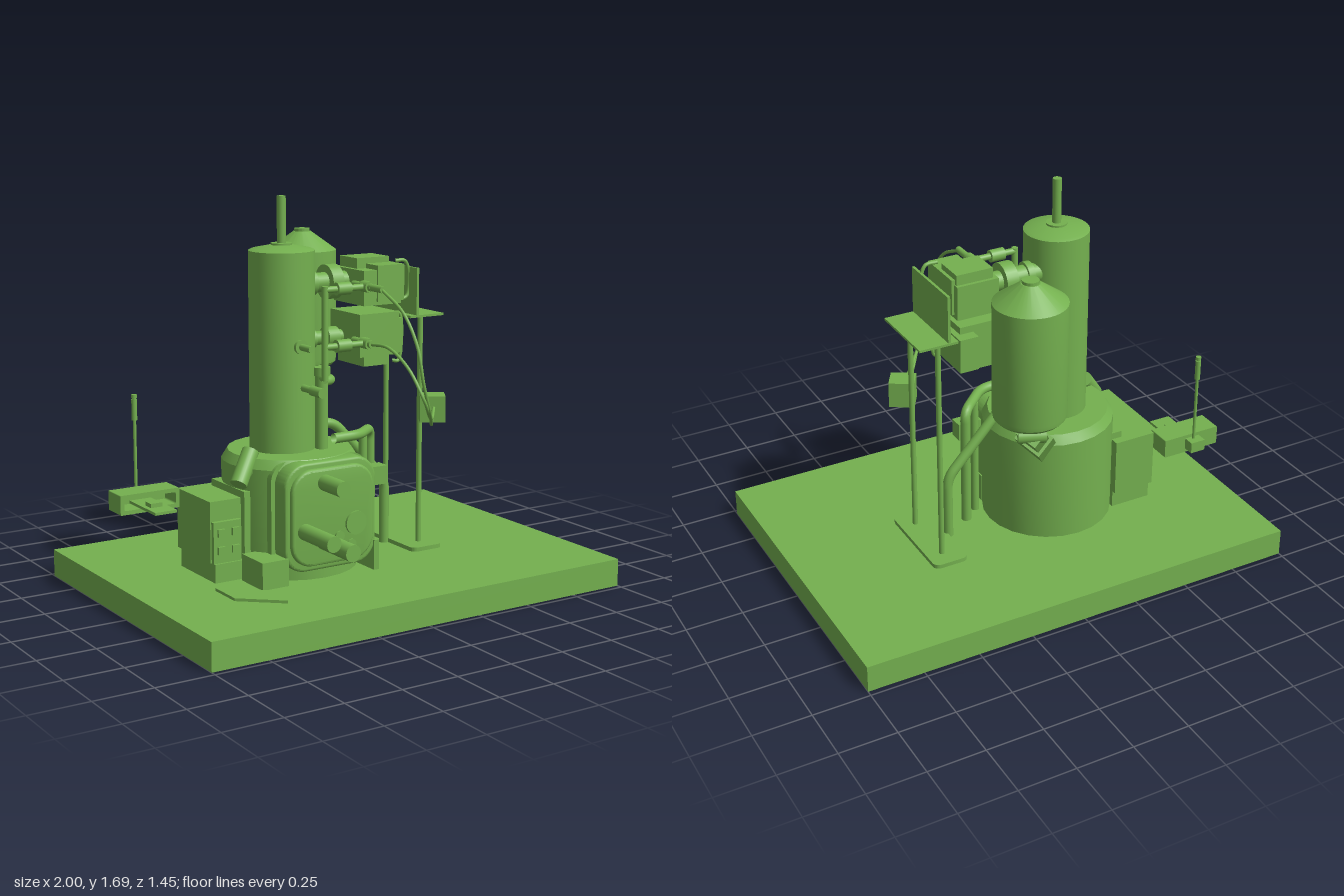
import * as THREE from 'three';
import { toCreasedNormals } from 'three/addons/utils/BufferGeometryUtils.js';

const V = (p) => new THREE.Vector3(...p);

export function createModel() {
  const root = new THREE.Group();
  root.name = 'laboratoryColumn';
  const mat = new THREE.MeshStandardMaterial({ color: 0x74b04f });
  const twoSided = new THREE.MeshStandardMaterial({ color: 0x74b04f, side: THREE.DoubleSide });

  const add = (name, geo, pos = [0, 0, 0], m = mat) => {
    const mesh = new THREE.Mesh(geo, m);
    mesh.name = name;
    mesh.position.set(...pos);
    root.add(mesh);
    return mesh;
  };
  // box given by its min and max on each axis
  const box = (name, x0, x1, y0, y1, z0, z1) =>
    add(name, new THREE.BoxGeometry(x1 - x0, y1 - y0, z1 - z0), [(x0 + x1) / 2, (y0 + y1) / 2, (z0 + z1) / 2]);
  const aim = (mesh, a, b) => {
    mesh.position.copy(a).add(b).multiplyScalar(0.5);
    mesh.quaternion.setFromUnitVectors(new THREE.Vector3(0, 1, 0), b.clone().sub(a).normalize());
    return mesh;
  };
  // cylinder or square bar running between two points
  const rod = (name, p, q, r, r2 = r, seg = 24) => {
    const a = V(p), b = V(q);
    return aim(add(name, new THREE.CylinderGeometry(r2, r, a.distanceTo(b), seg)), a, b);
  };
  const bar = (name, p, q, w, d) => {
    const a = V(p), b = V(q);
    return aim(add(name, new THREE.BoxGeometry(w, a.distanceTo(b), d)), a, b);
  };
  const lathe = (name, pts, pos, seg = 40) =>
    add(name, toCreasedNormals(new THREE.LatheGeometry(pts.map((p) => new THREE.Vector2(...p)), seg), 0.5), pos);
  const tube = (name, pts, r, seg = 60, tension = 0.5) => add(name, new THREE.TubeGeometry(
    new THREE.CatmullRomCurve3(pts.map(V), false, 'catmullrom', tension), seg, r, 12));
  // pipe with straight runs and rounded bends
  const pipe = (name, pts, r, bend = 0.05) => {
    const path = new THREE.CurvePath(), v = pts.map(V);
    let from = v[0];
    for (let i = 1; i < v.length - 1; i++) {
      const a = v[i].clone().add(v[i - 1].clone().sub(v[i]).setLength(bend));
      const b = v[i].clone().add(v[i + 1].clone().sub(v[i]).setLength(bend));
      path.add(new THREE.LineCurve3(from, a));
      path.add(new THREE.QuadraticBezierCurve3(a, v[i], b));
      from = b;
    }
    path.add(new THREE.LineCurve3(from, v[v.length - 1]));
    add(name, new THREE.TubeGeometry(path, 70, r, 14), [0, 0, 0], twoSided);
  };
  const roundedRect = (w, h, r) => {
    const s = new THREE.Shape();
    [[1, 1, 0], [-1, 1, 1], [-1, -1, 2], [1, -1, 3]].forEach(([x, y, k]) =>
      s.absarc(x * (w / 2 - r), y * (h / 2 - r), r, k * Math.PI / 2, (k + 1) * Math.PI / 2, false));
    s.closePath();
    return s;
  };
  const slab = (name, w, h, r, depth, pos, bevel = 0) => add(name, toCreasedNormals(
    new THREE.ExtrudeGeometry(roundedRect(w, h, r), { depth, curveSegments: 10, bevelEnabled: bevel > 0,
      bevelSize: bevel, bevelThickness: bevel, bevelOffset: -bevel, bevelSegments: 3 }), 0.6), pos);

  // Base tray, open underneath
  const tray = new THREE.BoxGeometry(2, 0.12, 1.45);
  tray.setIndex([...tray.index.array].filter((_, i) => i < 18 || i >= 24));
  tray.clearGroups();
  add('base', tray, [0, 0.06, 0], twoSided);

  // Main chamber with chamfered top
  lathe('chamber', [[0.29, 0.12], [0.29, 0.585], [0.265, 0.625], [0, 0.625]], [-0.21, 0, -0.02], 24);
  slab('frontHousing', 0.47, 0.47, 0.08, 0.2, [-0.195, 0.385, 0]);
  slab('doorFrame', 0.445, 0.46, 0.1, 0.07, [-0.19, 0.392, 0.2], 0.012);
  slab('door', 0.4, 0.41, 0.1, 0.03, [-0.19, 0.392, 0.26], 0.012);

  // Door fittings: x, y, radius, front z
  [[-0.233, 0.537, 0.034, 0.445], [-0.33, 0.342, 0.034, 0.525], [-0.238, 0.29, 0.036, 0.525],
    [-0.163, 0.3, 0.022, 0.31], [-0.083, 0.347, 0.05, 0.312], [-0.104, 0.257, 0.022, 0.31]]
    .forEach(([x, y, r, z]) => rod('doorPort', [x, y, 0.25], [x, y, z], r));
  box('leftFoot', -0.525, -0.4, 0.12, 0.235, 0.12, 0.29);
  box('rightFoot', 0.02, 0.045, 0.12, 0.25, 0.12, 0.29);
  box('hingeBlock', 0.02, 0.15, 0.46, 0.54, 0.13, 0.195);
  rod('sidePort', [-0.535, 0.53, 0.115], [-0.445, 0.65, 0.06], 0.036);
  rod('sidePortNeck', [-0.49, 0.58, 0.085], [-0.4, 0.54, 0.04], 0.035);

  // Tall column and its stem
  lathe('column', [[0.14, 0.6], [0.14, 1.465], [0.125, 1.472], [0.05, 1.487], [0, 1.487]], [-0.238, 0, -0.028]);
  rod('stemCollar', [-0.238, 1.47, -0.028], [-0.238, 1.495, -0.028], 0.045);
  rod('stem', [-0.238, 1.48, -0.028], [-0.238, 1.69, -0.028], 0.019);
  rod('columnPort', [-0.233, 1.075, 0.08], [-0.233, 1.075, 0.125], 0.03);
  rod('columnPortTip', [-0.233, 1.075, 0.12], [-0.233, 1.075, 0.2], 0.014);
  rod('lowerColumnPort', [-0.217, 0.9, 0.08], [-0.217, 0.9, 0.2], 0.015);
  rod('lowerColumnPortCap', [-0.217, 0.9, 0.18], [-0.217, 0.9, 0.26], 0.021);

  // Storage tank
  lathe('tank', [[0, 0.885], [0.135, 0.885], [0.15, 0.9], [0.153, 0.92], [0.153, 1.405], [0.04, 1.487],
    [0.035, 1.487], [0.035, 1.5], [0, 1.5]], [0.132, 0, -0.468]);
  rod('tankNeck', [0.132, 0.8, -0.475], [0.132, 0.89, -0.475], 0.045);
  bar('tankArm', [0.15, 0.835, -0.51], [0.035, 0.685, -0.34], 0.1, 0.075);
  rod('tankArmJoint', [0.195, 0.82, -0.485], [0.09, 0.82, -0.53], 0.03);
  bar('tankArmFoot', [0.05, 0.705, -0.36], [-0.06, 0.56, -0.2], 0.13, 0.1);

  // Two side arms leading from the column to the instrument heads
  [[1.31, 0.042, 0.075], [1.07, 0.03, 0.045]].forEach(([y, r, flange]) => {
    rod('sideArm', [-0.13, y, -0.07], [0.11, y, -0.07], r);
    rod('sideArmFlange', [0.0, y, -0.07], [0.055, y, -0.07], flange);
    rod('sideArmCollar', [-0.09, y, -0.07], [-0.06, y, -0.07], r + 0.012);
    // thin sampling line with fittings
    rod('sampleLine', [-0.14, y, 0.155], [0.07, y, 0.155], 0.014);
    rod('sampleFitting', [-0.085, y, 0.155], [-0.02, y, 0.155], 0.027);
    rod('cableSocket', [0.065, y, 0.06], [0.065, y, 0.2], 0.016);
    rod('cablePlug', [0.065, y, 0.13], [0.065, y, 0.185], 0.024);
  });
  rod('upperCablePlug', [0.065, 1.31, 0.18], [0.065, 1.31, 0.28], 0.015);
  rod('samplePipe', [-0.14, 0.93, 0.155], [-0.14, 1.325, 0.155], 0.014);
  rod('sampleRiser', [-0.11, 0.62, 0.08], [-0.11, 0.95, 0.08], 0.027);
  rod('riserCap', [-0.11, 0.94, 0.08], [-0.11, 0.975, 0.08], 0.037);
  rod('sampleLink', [-0.14, 0.93, 0.155], [-0.11, 0.93, 0.08], 0.014);
  pipe('columnElbow', [[-0.11, 0.91, 0.08], [-0.04, 0.91, 0.06], [-0.04, 0.91, -0.06], [-0.14, 0.91, -0.06]], 0.02, 0.035);

  // Instrument heads
  box('upperHead', 0.1, 0.29, 1.215, 1.365, -0.15, 0.085);
  box('upperHeadTop', 0.12, 0.285, 1.36, 1.41, -0.135, 0.0);
  box('upperHeadEnd', 0.165, 0.3, 1.23, 1.385, -0.12, 0.095);
  box('lowerHead', 0.08, 0.28, 0.995, 1.18, -0.15, 0.085);
  box('lowerHeadBase', 0.1, 0.225, 0.955, 1.0, -0.12, 0.085);
  box('lowerHeadEnd', 0.22, 0.305, 1.0, 1.15, -0.2, 0.08);
  tube('upperHandle', [[0.28, 1.395, 0.05], [0.335, 1.39, 0.05], [0.355, 1.33, 0.05], [0.345, 1.24, 0.05], [0.28, 1.225, 0.05]], 0.008);
  tube('lowerHandle', [[0.26, 1.17, 0.06], [0.3, 1.165, 0.06], [0.312, 1.09, 0.06], [0.3, 0.97, 0.06], [0.26, 0.965, 0.06]], 0.008);

  // Stand with table, back panel and foot
  box('standTable', 0.32, 0.495, 1.15, 1.16, -0.215, 0.115);
  box('standPanel', 0.352, 0.364, 1.155, 1.365, -0.21, 0.115);
  [0.075, -0.185].forEach((z) => rod('standPost', [0.4, 0.13, z], [0.4, 1.152, z], 0.012));
  slab('standFoot', 0.16, 0.43, 0.03, 0.018, [0.39, 0.12, -0.05]).rotation.x = -Math.PI / 2;

  // Control box on the post and its two looping cables
  box('controlBox', 0.34, 0.45, 0.705, 0.82, 0.125, 0.225).rotation.y = -0.55;
  tube('outerCable', [[0.065, 1.31, 0.27], [0.07, 1.23, 0.42], [0.085, 1.1, 0.5], [0.1, 0.95, 0.525],
    [0.16, 0.81, 0.49], [0.26, 0.735, 0.36], [0.37, 0.725, 0.21]], 0.007);
  tube('innerCable', [[0.065, 1.07, 0.19], [0.07, 1.07, 0.32], [0.085, 1.0, 0.44], [0.11, 0.88, 0.515],
    [0.17, 0.8, 0.47], [0.27, 0.76, 0.35], [0.38, 0.77, 0.21]], 0.007);

  // Floor pipes
  pipe('frontPipe', [[-0.1, 0.68, 0.16], [0.03, 0.68, 0.155], [0.172, 0.67, 0.025], [0.172, 0.12, 0.025]], 0.022);
  pipe('rearPipe', [[-0.1, 0.7, -0.05], [0.03, 0.7, -0.05], [0.3, 0.41, -0.05], [0.3, 0.12, -0.05]], 0.022);
  rod('drainPipe', [0.1, 0.12, 0.08], [0.1, 0.67, 0.08], 0.018);

  // Side cabinet with a two by two switch panel
  box('cabinet', -0.645, -0.45, 0.2, 0.46, -0.22, 0.07);
  box('cabinetFoot', -0.64, -0.45, 0.12, 0.2, -0.2, 0.1);
  box('cabinetBracket', -0.5, -0.41, 0.2, 0.49, -0.18, 0.1);
  box('switchPanel', -0.64, -0.51, 0.2, 0.375, 0.06, 0.09);
  for (const x of [-0.607, -0.54]) for (const y of [0.255, 0.33])
    box('switch', x - 0.016, x + 0.016, y - 0.016, y + 0.016, 0.085, 0.102);

  // Open tray beside the cabinet
  const frame = roundedRect(0.275, 0.085, 0.004);
  frame.holes.push(roundedRect(0.24, 0.05, 0.008));
  add('sideTray', new THREE.ExtrudeGeometry(frame, { depth: 0.115, bevelEnabled: false }), [-0.782, 0.423, -0.315]);
  box('sideTrayBack', -0.915, -0.65, 0.385, 0.46, -0.315, -0.3);
  box('sideTrayShelf', -0.83, -0.73, 0.4, 0.412, -0.3, -0.06);
  box('sideTrayKnob', -0.81, -0.755, 0.41, 0.43, -0.19, -0.14);
  box('mastBlock', -0.82, -0.75, 0.4, 0.45, -0.365, -0.31);
  rod('mast', [-0.785, 0.44, -0.328], [-0.785, 0.86, -0.328], 0.007);
  rod('mastSleeve', [-0.785, 0.75, -0.328], [-0.785, 0.84, -0.328], 0.012);
  rod('mastTip', [-0.785, 0.845, -0.328], [-0.785, 0.86, -0.328], 0.012);

  // Loose sheet lying on the base
  const sheet = new THREE.Shape([[-0.69, -0.19], [-0.69, -0.35], [-0.527, -0.49], [-0.527, -0.325]]
    .map((p) => new THREE.Vector2(...p)));
  add('sheet', new THREE.ExtrudeGeometry(sheet, { depth: 0.012, bevelEnabled: false }), [0, 0.122, 0]).rotation.x = -Math.PI / 2;

  return root;
}
